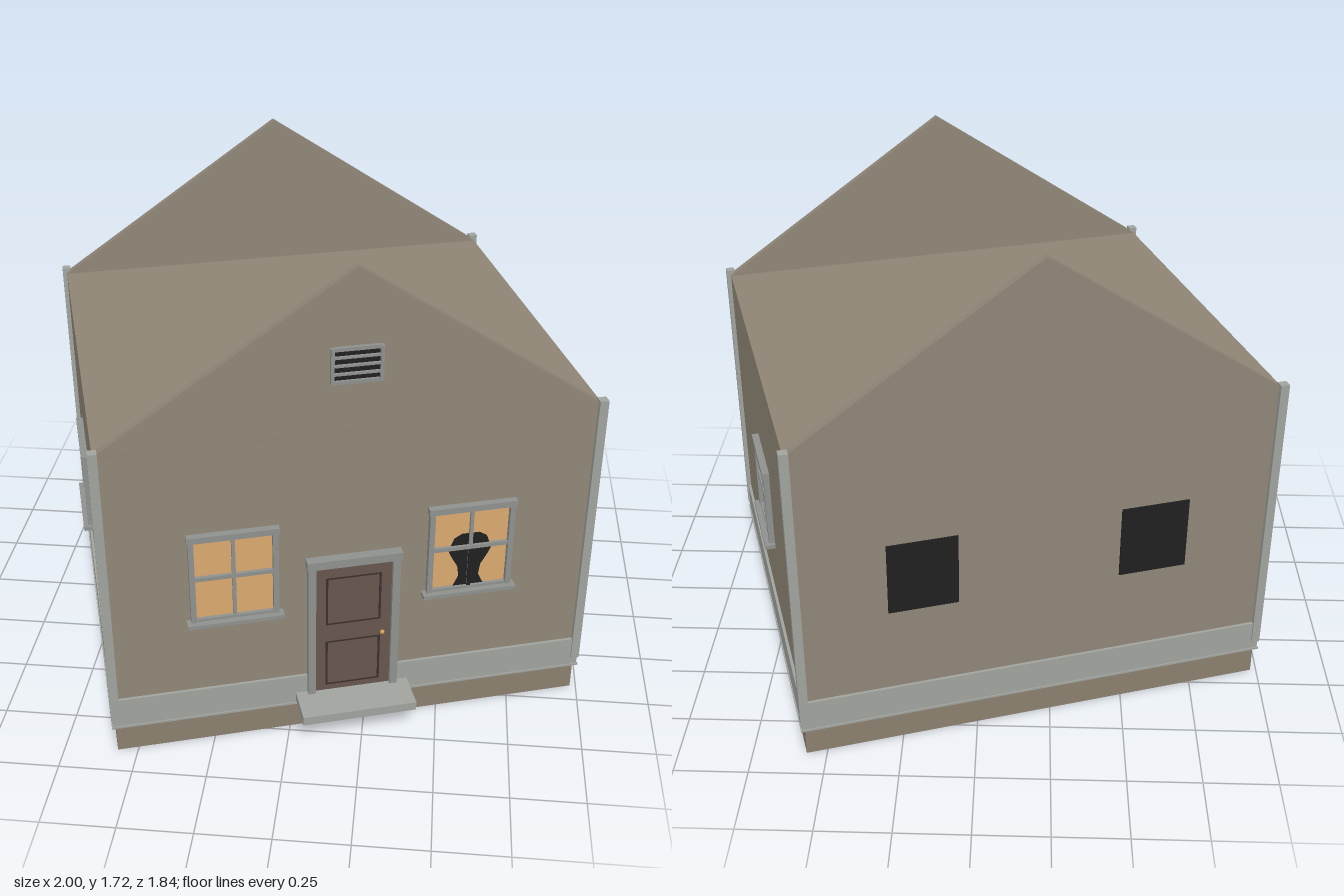
import * as THREE from 'three';

const W = 0.81, D = 0.695, EAVE = 1.165, PEAK = 1.715;

export function createModel() {
  const mat = (name, color) => {
    const m = new THREE.MeshStandardMaterial({ color });
    m.name = name;
    return m;
  };
  const wall = mat('wall', 0x8f8677);
  const base = mat('foundation', 0x8b806e);
  const roofMat = mat('roof', 0x8f8474);
  const trim = mat('trim', 0xa0a39e);
  const frame = mat('window frame', 0x8e918e);
  const glass = mat('lit glass', 0xd9a86f);
  const door = mat('door', 0x67554d);
  const doorDark = mat('door groove', 0x3a2e2a);
  const dark = mat('dark', 0x1f1f1f);
  const brass = mat('brass', 0xc79a4a);

  const house = new THREE.Group();
  house.name = 'house';

  // Box given by its centre in x and z, and its bottom and top
  const box = (parent, name, m, w, d, y0, y1, x = 0, z = 0) => {
    const mesh = new THREE.Mesh(new THREE.BoxGeometry(w, y1 - y0, d), m);
    mesh.position.set(x, (y0 + y1) / 2, z);
    mesh.name = name;
    parent.add(mesh);
    return mesh;
  };

  // Body
  box(house, 'foundation', base, 2 * W, 2 * D, 0, 0.11);
  box(house, 'walls', wall, 2 * W, 2 * D, 0.11, EAVE - 0.005);
  box(house, 'flatRoof', roofMat, 2 * W, 2 * D, EAVE - 0.005, EAVE);
  box(house, 'skirtBand', trim, 2 * W + 0.02, 2 * D + 0.02, 0.105, 0.222);
  box(house, 'skirtLip', trim, 2 * W + 0.028, 2 * D + 0.028, 0.105, 0.112);

  // Gable parapets, front and back
  const tri = new THREE.Shape();
  tri.moveTo(-W, EAVE);
  tri.lineTo(W, EAVE);
  tri.lineTo(0, PEAK);
  tri.closePath();
  const gableGeo = new THREE.ExtrudeGeometry(tri, { depth: 0.025, bevelEnabled: false });
  for (const [name, z] of [['frontGable', D - 0.025], ['backGable', -D]]) {
    const g = new THREE.Mesh(gableGeo, wall);
    g.position.z = z;
    g.name = name;
    house.add(g);
  }

  // Corner posts
  for (const sx of [-1, 1]) for (const sz of [-1, 1])
    box(house, 'cornerPost', trim, 0.03, 0.03, 0.14, 1.182, sx * W, sz * D);

  // Window: local z = 0 is the wall face, facing +z
  const makeWindow = (name, w, y0, y1) => {
    const g = new THREE.Group();
    g.name = name;
    const mid = (y0 + y1) / 2 + 0.008;
    box(g, 'glass', glass, w, 0.004, y0, y1, 0, 0.002);
    for (const s of [-1, 1]) box(g, 'jamb', frame, 0.018, 0.02, y0, y1, s * (w / 2 + 0.005), 0.01);
    box(g, 'head', frame, w + 0.036, 0.024, y1 - 0.004, y1 + 0.018, 0, 0.012);
    box(g, 'sill', frame, w + 0.058, 0.036, y0 - 0.014, y0, 0, 0.018);
    box(g, 'bottomRail', frame, w, 0.016, y0, y0 + 0.01, 0, 0.008);
    box(g, 'mullion', frame, 0.012, 0.01, y0, y1, 0, 0.009);
    box(g, 'crossbar', frame, w, 0.012, mid - 0.007, mid + 0.007, 0, 0.01);
    house.add(g);
    return g;
  };
  const leftFront = makeWindow('frontWindow', 0.262, 0.512, 0.828);
  leftFront.position.set(-0.395, 0, D);
  const lit = makeWindow('frontWindow', 0.262, 0.512, 0.828);
  lit.position.set(0.395, 0, D);
  for (const s of [-1, 1]) {
    const g = makeWindow('sideWindow', 0.245, 0.517, 0.785);
    g.position.set(s * W, 0, -0.05);
    g.rotation.y = s * Math.PI / 2;
  }

  // Shadow figure behind the bars of one window, mirrored half outline
  const half = [[0.055, 0.515], [0.034, 0.56], [0.04, 0.6], [0.06, 0.635], [0.074, 0.665],
    [0.064, 0.69], [0.056, 0.712], [0.03, 0.728]];
  const pts = [...half, ...half.slice().reverse().map(([x, y]) => [-x, y])];
  const figure = new THREE.Mesh(new THREE.ExtrudeGeometry(
    new THREE.Shape(pts.map(([x, y]) => new THREE.Vector2(x, y))),
    { depth: 0.002, bevelEnabled: false }), dark);
  figure.position.z = 0.005;
  figure.name = 'shadowFigure';
  lit.add(figure);
  box(lit, 'figureMullion', dark, 0.013, 0.003, 0.522, 0.672, 0, 0.0135);

  // Dark back windows
  for (const s of [-1, 1])
    box(house, 'backWindow', dark, 0.235, 0.008, 0.53, 0.79, s * 0.395, -D - 0.002);

  // Door with grooved panels and a knob
  const entry = new THREE.Group();
  entry.name = 'entry';
  entry.position.z = D;
  house.add(entry);
  box(entry, 'doorLeaf', door, 0.262, 0.014, 0.15, 0.672, 0, 0.007);
  for (const [y0, y1] of [[0.175, 0.36], [0.43, 0.62]]) {
    for (const s of [-1, 1]) box(entry, 'groove', doorDark, 0.007, 0.003, y0, y1, s * 0.09, 0.0145);
    for (const y of [y0, y1 - 0.005]) box(entry, 'groove', doorDark, 0.18, 0.003, y, y + 0.005, 0, 0.0145);
  }
  for (const s of [-1, 1]) box(entry, 'doorJamb', frame, 0.026, 0.028, 0.15, 0.675, s * 0.142, 0.014);
  box(entry, 'doorHead', frame, 0.318, 0.034, 0.672, 0.702, 0, 0.017);
  const knob = new THREE.Mesh(new THREE.SphereGeometry(0.008, 12, 8), brass);
  knob.position.set(0.1, 0.375, 0.02);
  knob.name = 'doorKnob';
  entry.add(knob);

  // Doorstep on small feet
  box(entry, 'doorstep', trim, 0.39, 0.14, 0.12, 0.152, 0, 0.07);
  for (const s of [-1, 1]) box(entry, 'stepFoot', frame, 0.025, 0.1, 0.108, 0.12, s * 0.155, 0.055);

  // Gable vent with slats
  const vent = new THREE.Group();
  vent.name = 'vent';
  vent.position.z = D;
  house.add(vent);
  box(vent, 'ventOpening', dark, 0.16, 0.004, 1.345, 1.45, 0, 0.002);
  for (const s of [-1, 1]) box(vent, 'ventSide', frame, 0.011, 0.014, 1.337, 1.457, s * 0.077, 0.007);
  for (let i = 0; i < 5; i++) {
    const y = 1.341 + i * 0.028, h = i % 4 ? 0.004 : 0.006;
    box(vent, 'ventSlat', frame, 0.145, 0.012, y - h, y + h, 0, 0.006);
  }

  // The house stands turned on its plot
  house.rotation.y = 0.3;
  const model = new THREE.Group();
  model.name = 'model';
  model.add(house);
  return model;
}
